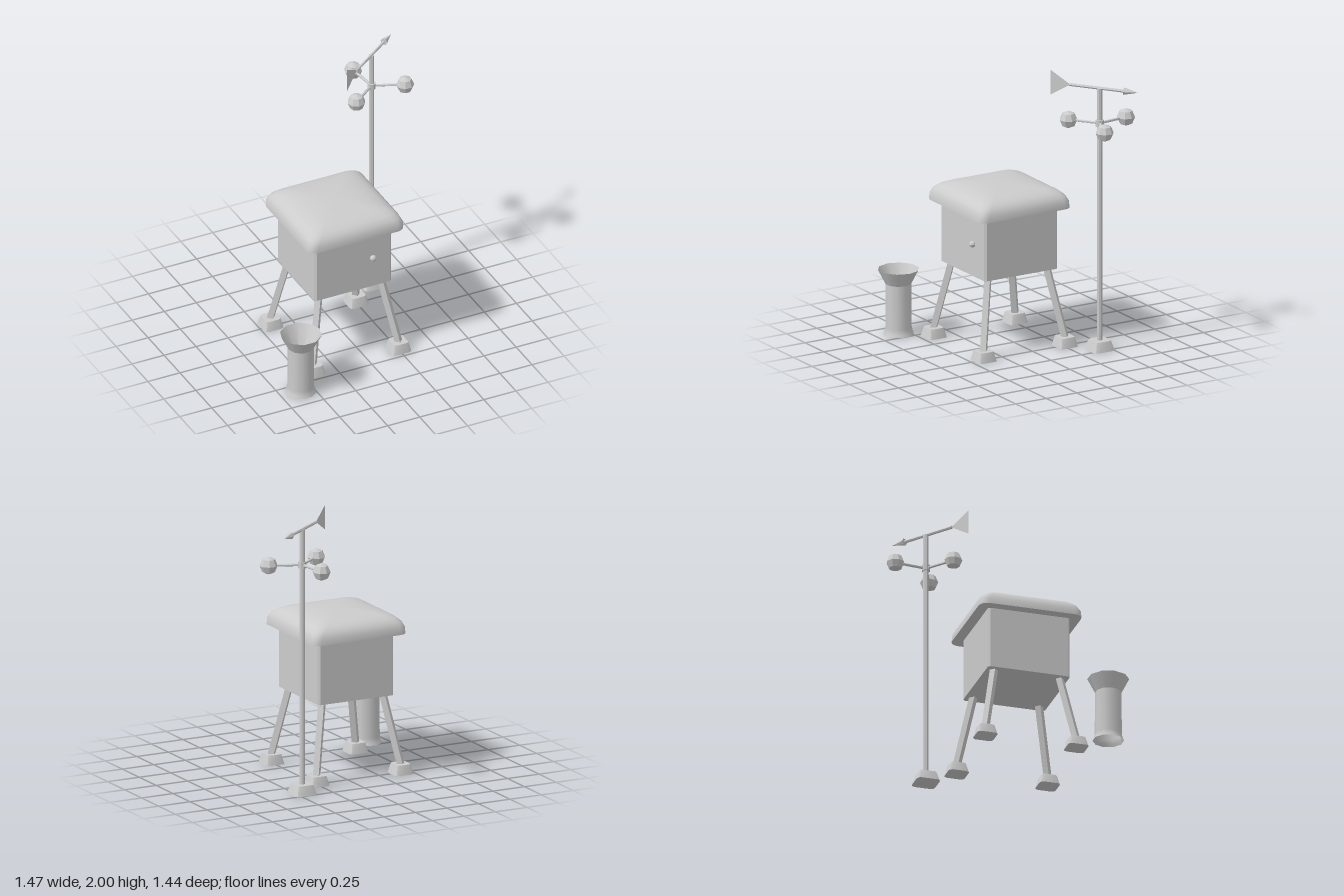
import * as THREE from 'three';
import { toCreasedNormals } from 'three/addons/utils/BufferGeometryUtils.js';

const grey = new THREE.MeshStandardMaterial({ color: 0xcccccc, side: THREE.DoubleSide });
grey.name = 'light grey';

function add(parent, name, geometry, x = 0, y = 0, z = 0) {
  const mesh = new THREE.Mesh(geometry, grey);
  mesh.name = name;
  mesh.position.set(x, y, z);
  parent.add(mesh);
  return mesh;
}

// Closed solid through rounded-square rings [half width, corner radius, y]
function loft(rings, steps, crease) {
  const all = [[0, 0, rings[0][2]], ...rings, [0, 0, rings[rings.length - 1][2]]];
  const n = 4 * (steps + 1), pos = [], index = [];
  for (const [half, radius, y] of all) {
    for (let corner = 0; corner < 4; corner++) {
      const mid = (corner + 0.5) * Math.PI / 2;
      for (let s = 0; s <= steps; s++) {
        const a = (corner + s / steps) * Math.PI / 2;
        pos.push(Math.sign(Math.cos(mid)) * (half - radius) + radius * Math.cos(a), y,
          Math.sign(Math.sin(mid)) * (half - radius) + radius * Math.sin(a));
      }
    }
  }
  for (let r = 0; r < all.length - 1; r++) {
    for (let i = 0; i < n; i++) {
      const a = r * n + i, b = r * n + (i + 1) % n;
      if (all[r][0] > 0) index.push(a, a + n, b);
      if (all[r + 1][0] > 0) index.push(b, a + n, b + n);
    }
  }
  const g = new THREE.BufferGeometry();
  g.setAttribute('position', new THREE.Float32BufferAttribute(pos, 3));
  g.setIndex(index);
  return toCreasedNormals(g, crease);
}

// Straight bar between two points
function bar(parent, name, from, to, radius, sides, endRadius = radius) {
  const dir = to.clone().sub(from);
  const g = toCreasedNormals(new THREE.CylinderGeometry(endRadius, radius, dir.length(), sides), 0.6);
  const mesh = add(parent, name, g);
  mesh.position.copy(from).add(to).multiplyScalar(0.5);
  mesh.quaternion.setFromUnitVectors(new THREE.Vector3(0, 1, 0), dir.normalize());
  return mesh;
}

const V = (x, y, z) => new THREE.Vector3(x, y, z);

function buildShelter() {
  const shelter = new THREE.Group();
  shelter.name = 'instrumentShelter';
  shelter.position.set(-0.08, 0, 0.07);

  add(shelter, 'cabinet', loft([[0.3, 0.015, 0.56], [0.3, 0.015, 1.03]], 1, 0.3));
  add(shelter, 'roof', loft([
    [0.375, 0.065, 1.01], [0.373, 0.065, 1.055], [0.355, 0.07, 1.095], [0.325, 0.075, 1.122],
    [0.28, 0.07, 1.142], [0.21, 0.055, 1.156], [0.12, 0.035, 1.165],
  ], 4, 0.8));

  const knob = add(shelter, 'doorKnob', toCreasedNormals(new THREE.SphereGeometry(0.025, 8, 4), 0.3), 0.148, 0.797, 0.31);
  knob.rotation.x = Math.PI / 2;

  // Splayed legs on block feet
  for (const sx of [-1, 1]) {
    for (const sz of [-1, 1]) {
      bar(shelter, 'leg', V(sx * 0.335, 0.055, sz * 0.335), V(sx * 0.238, 0.58, sz * 0.238), 0.03, 4);
      add(shelter, 'foot', loft([[0.074, 0.025, 0], [0.056, 0.02, 0.07]], 2, 0.5), sx * 0.333, 0, sz * 0.333);
    }
  }
  return shelter;
}

function buildMast() {
  const mast = new THREE.Group();
  mast.name = 'windMast';
  mast.position.set(0.455, 0, -0.425);

  add(mast, 'mastFoot', loft([[0.085, 0.028, 0], [0.063, 0.022, 0.07]], 2, 0.5));
  bar(mast, 'pole', V(0, 0.06, 0), V(0, 1.91, 0), 0.02, 8);

  // Spinning cups
  add(mast, 'cupHub', toCreasedNormals(new THREE.CylinderGeometry(0.03, 0.03, 0.045, 8), 0.3), 0, 1.655, 0);
  for (let i = 0; i < 3; i++) {
    const a = THREE.MathUtils.degToRad(23 + i * 120);
    const end = V(Math.cos(a) * 0.235, 1.655, Math.sin(a) * 0.235);
    bar(mast, 'cupArm', V(0, 1.655, 0), end, 0.01, 6);
    const cup = add(mast, 'cup', toCreasedNormals(new THREE.SphereGeometry(0.064, 8, 4), 0.45));
    cup.position.copy(end);
    cup.rotation.y = -a;
  }

  // Wind vane
  const vane = new THREE.Group();
  vane.name = 'windVane';
  vane.position.y = 1.91;
  vane.rotation.y = THREE.MathUtils.degToRad(36);
  bar(vane, 'vaneRod', V(-0.228, 0, 0), V(0.2, 0, 0), 0.011, 6);
  bar(vane, 'vaneTip', V(0.185, 0, 0), V(0.29, 0, 0), 0.027, 6, 0);
  const tail = new THREE.Shape([
    new THREE.Vector2(-0.222, 0), new THREE.Vector2(-0.37, 0.09), new THREE.Vector2(-0.37, -0.09),
  ]);
  add(vane, 'vaneTail', new THREE.ShapeGeometry(tail));
  mast.add(vane);
  return mast;
}

function buildRainGauge() {
  const gauge = new THREE.Group();
  gauge.name = 'rainGauge';
  gauge.position.set(-0.595, 0, 0.58);
  gauge.rotation.y = Math.PI / 2;
  const lathe = (points) => new THREE.LatheGeometry(points.map(([r, y]) => new THREE.Vector2(r, y)), 10);

  // Open tube with a flared base, and a funnel with an open spout
  add(gauge, 'gaugeTube', lathe([[0.11, 0], [0.102, 0.02], [0.095, 0.05], [0.093, 0.37]]));
  add(gauge, 'gaugeFunnel', lathe([[0.045, 0.276], [0.147, 0.475]]));
  return gauge;
}

export function createModel() {
  const model = new THREE.Group();
  model.name = 'weatherStation';
  model.add(buildShelter(), buildMast(), buildRainGauge());
  return model;
}
